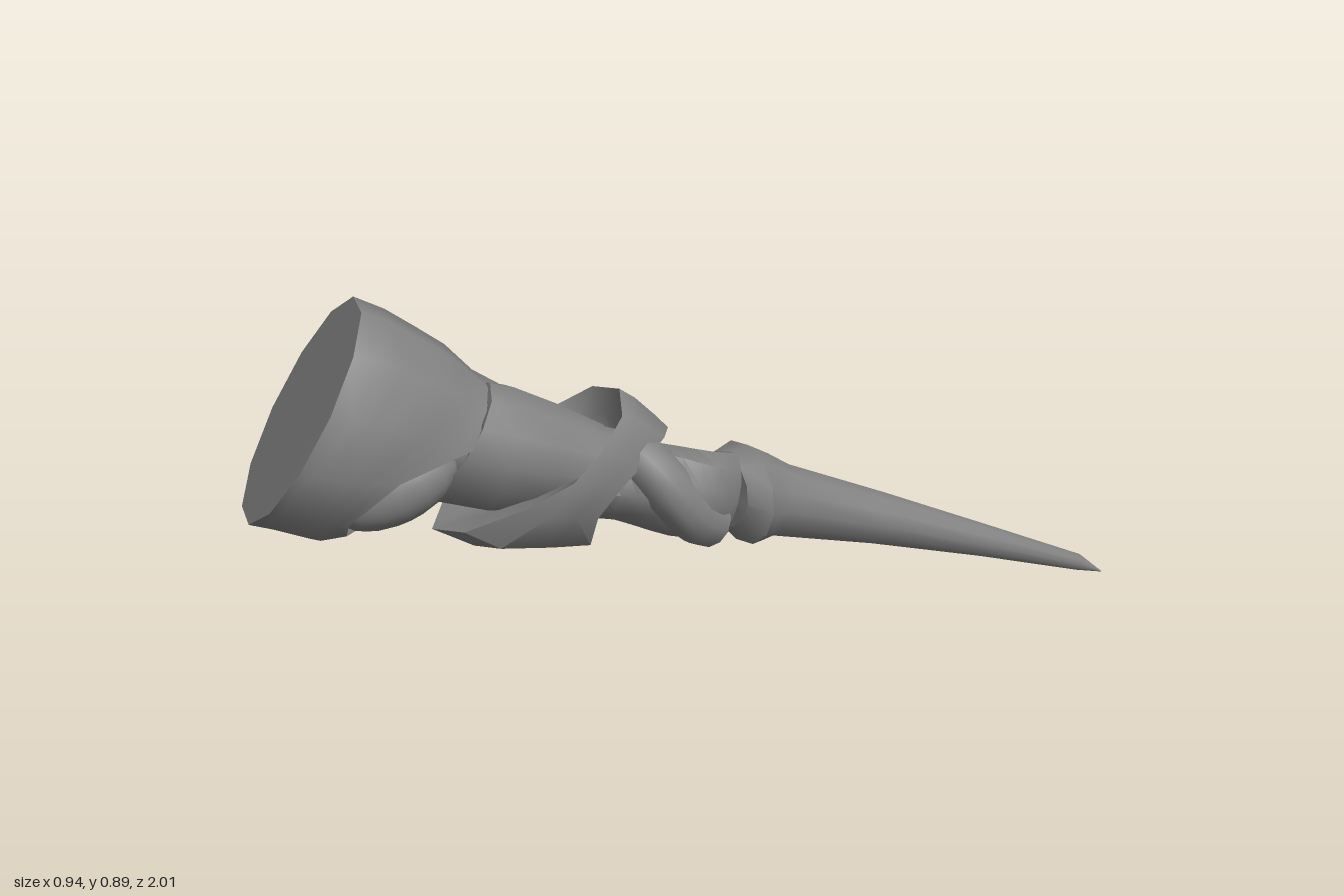
import * as THREE from 'three';
import { toCreasedNormals } from 'three/addons/utils/BufferGeometryUtils.js';

const SIDES = 12;
// Slanted main axis: s runs along D (towards the thick end), U points sideways, V upwards
const ORIGIN = new THREE.Vector3(0.06, 0.379, 0);
const D = new THREE.Vector3(-0.352, 0.305, 0.884).normalize();
const U = new THREE.Vector3(0.929, 0, 0.37).normalize();
const V = new THREE.Vector3().crossVectors(D, U);
const at = (u, v, s) => ORIGIN.clone().addScaledVector(U, u).addScaledVector(V, v).addScaledVector(D, s);

const material = new THREE.MeshStandardMaterial({ color: 0x808080, side: THREE.DoubleSide });

// Skin a list of rings, thick end first; a ring is a function (angle, index) -> [u, v, s]
function loft(name, rings, phase = 0) {
  const pos = [];
  const tri = (a, b, c) => {
    const n = b.clone().sub(a).cross(c.clone().sub(a));
    if (n.lengthSq() > 1e-14) [a, b, c].forEach((p) => pos.push(p.x, p.y, p.z));
  };
  const pts = rings.map((ring) => Array.from({ length: SIDES }, (_, j) =>
    at(...ring(((j + phase) / SIDES) * Math.PI * 2, j))));
  for (let i = 0; i < pts.length - 1; i++) {
    for (let j = 0; j < SIDES; j++) {
      const k = (j + 1) % SIDES;
      const [a, b, c, d] = [pts[i][j], pts[i][k], pts[i + 1][j], pts[i + 1][k]];
      tri(a, c, b);
      tri(b, c, d);
    }
  }
  const geo = new THREE.BufferGeometry();
  geo.setAttribute('position', new THREE.Float32BufferAttribute(pos, 3));
  const mesh = new THREE.Mesh(toCreasedNormals(geo, 0.75), material);
  mesh.name = name;
  return mesh;
}

// Elliptical ring square to the axis, with an optional offset centre
const oval = (s, ru, rv = ru, cu = 0, cv = 0) => (t) =>
  [cu + ru * Math.cos(t), cv + rv * Math.sin(t), s];

// Lean a ring along the axis in proportion to u and v
const lean = (ring, du, dv) => (t) => {
  const [u, v, s] = ring(t);
  return [u, v, s + du * u + dv * v];
};

// Linear lookup in a table of [s, ru, rv] sorted from high s to low s
function radii(table, s) {
  const i = Math.max(1, table.findIndex((row) => row[0] <= s));
  const [a, b] = [table[i - 1], table[i]];
  const f = (a[0] - s) / (a[0] - b[0]);
  return [a[1] + (b[1] - a[1]) * f, a[2] + (b[2] - a[2]) * f];
}

// Flared pommel sleeve: tilted flat end, cut away low on one side, long tongue on top
function pommelSleeve() {
  const profile = [
    [1.1, 0.212, 0.26], [0.96, 0.216, 0.265], [0.85, 0.216, 0.276], [0.75, 0.2, 0.243],
    [0.65, 0.162, 0.21], [0.54, 0.13, 0.145], [0.4, 0.108, 0.129], [0.2, 0.06, 0.07],
  ];
  const end = [0.55, 0.42, 0.34, 0.26, 0.3, 0.34, 0.39, 0.5, 0.68, 0.79, 0.82, 0.74];
  const rings = [() => [-0.004, 0, 0.947]];
  for (let i = 0; i <= 8; i++) {
    rings.push((t, j) => {
      const start = 0.947 - 0.07 * Math.sin(t) + 0.01 * Math.cos(t);
      const s = start + (end[j] - start) * (i / 8);
      const [ru, rv] = radii(profile, s);
      const v = rv * Math.sin(t) - 0.006 * (1 - i / 8);
      return [ru * Math.cos(t) - 0.12 * v - 0.004 * (1 - i / 8), v, s];
    });
  }
  return loft('pommelSleeve', rings, 0.5);
}

// Slanted collar: per-angle rims, with a recessed face joining it to the core
function collar() {
  const frontS = [0.33, 0.28, 0.24, 0.23, 0.26, 0.31, 0.395, 0.46, 0.53, 0.57, 0.53, 0.42];
  const frontR = [0.158, 0.163, 0.183, 0.193, 0.183, 0.165, 0.148, 0.155, 0.178, 0.225, 0.21, 0.172];
  const backS = [0.21, 0.16, 0.115, 0.085, 0.085, 0.1, 0.15, 0.19, 0.21, 0.2, 0.22, 0.24];
  const backR = [0.143, 0.132, 0.14, 0.124, 0.12, 0.125, 0.13, 0.145, 0.17, 0.193, 0.188, 0.16];
  const band = (f, grow, sag = 0) => (t, j) => {
    const r = (frontR[j] + (backR[j] - frontR[j]) * f) * grow + sag * Math.max(0, -Math.sin(t));
    return [r * Math.cos(t), r * Math.sin(t), frontS[j] + (backS[j] - frontS[j]) * f];
  };
  return loft('collar', [
    band(0.5, 0.55), band(0.2, 0.74), band(0, 1), band(0.3, 1.04, 0.024), band(0.7, 1.03, 0.01),
    band(1, 1), band(0.9, 0.6),
  ]);
}

// Twisted grip: a two-lobed section turning along the axis, bulging to one side
function twistedGrip() {
  const rings = [];
  for (let i = 0; i <= 8; i++) {
    const f = i / 8;
    const bulge = Math.sin(f * f * Math.PI);
    const r0 = 0.114 + 0.004 * bulge - 0.026 * f;
    rings.push((t) => {
      const r = r0 + 0.012 * Math.cos(2 * t - f * 4);
      return [0.058 * bulge + r * Math.cos(t), r * Math.sin(t) - 0.024 * (1 - f), 0.24 - 0.35 * f];
    });
  }
  return loft('twistedGrip', rings);
}

// Broad strand winding over the grip from top to bottom
function gripStrand() {
  const path = Array.from({ length: 7 }, (_, i) => {
    const f = i / 6;
    const a = 1.3 - f * 2.7;
    return at(0.03 + 0.025 * f + 0.064 * Math.cos(a), 0.064 * Math.sin(a), 0.18 - 0.24 * f);
  });
  const mesh = new THREE.Mesh(
    new THREE.TubeGeometry(new THREE.CatmullRomCurve3(path), 24, 0.062, 12), material);
  mesh.name = 'gripStrand';
  return mesh;
}

// Rounded pod lying diagonally in the cut of the sleeve
function pod() {
  const mesh = new THREE.Mesh(new THREE.SphereGeometry(1, 16, 12), material);
  mesh.name = 'pod';
  mesh.scale.set(0.09, 0.085, 0.155);
  const dir = D.clone().addScaledVector(V, -0.8).normalize();
  mesh.quaternion.setFromUnitVectors(new THREE.Vector3(0, 0, 1), dir);
  mesh.position.copy(at(0.085, -0.108, 0.715));
  return mesh;
}

export function createModel() {
  const model = new THREE.Group();
  model.name = 'wand';
  model.add(
    pommelSleeve(),
    pod(),
    loft('core', [oval(0.9, 0), oval(0.85, 0.12), oval(0.6, 0.11), oval(0.1, 0.09), oval(0.1, 0)]),
    // Inner wrap between sleeve and collar, its front edge leaning back at the top
    loft('innerWrap', [
      oval(0.56, 0.09), lean(oval(0.59, 0.13, 0.15, 0.01), 0, -0.33),
      oval(0.48, 0.138, 0.15, 0.006), oval(0.36, 0.123, 0.128), oval(0.24, 0.1, 0.1),
    ]),
    collar(),
    twistedGrip(),
    gripStrand(),
    // Flared ferrule, its rim leaning, running into the long tapering shaft
    loft('shaft', [
      oval(-0.1, 0), lean(oval(-0.1, 0.09, 0.086), -0.35, 0.2), lean(oval(-0.147, 0.12, 0.118), -0.35, 0.2),
      lean(oval(-0.19, 0.106, 0.107), -0.2, 0.1), oval(-0.24, 0.086, 0.09), oval(-0.5, 0.062, 0.066),
      oval(-0.8, 0.037, 0.041, 0, -0.008), oval(-1.07, 0.018, 0.021, 0.003, -0.018),
      oval(-1.145, 0, 0, 0.008, -0.03),
    ]),
  );
  return model;
}
